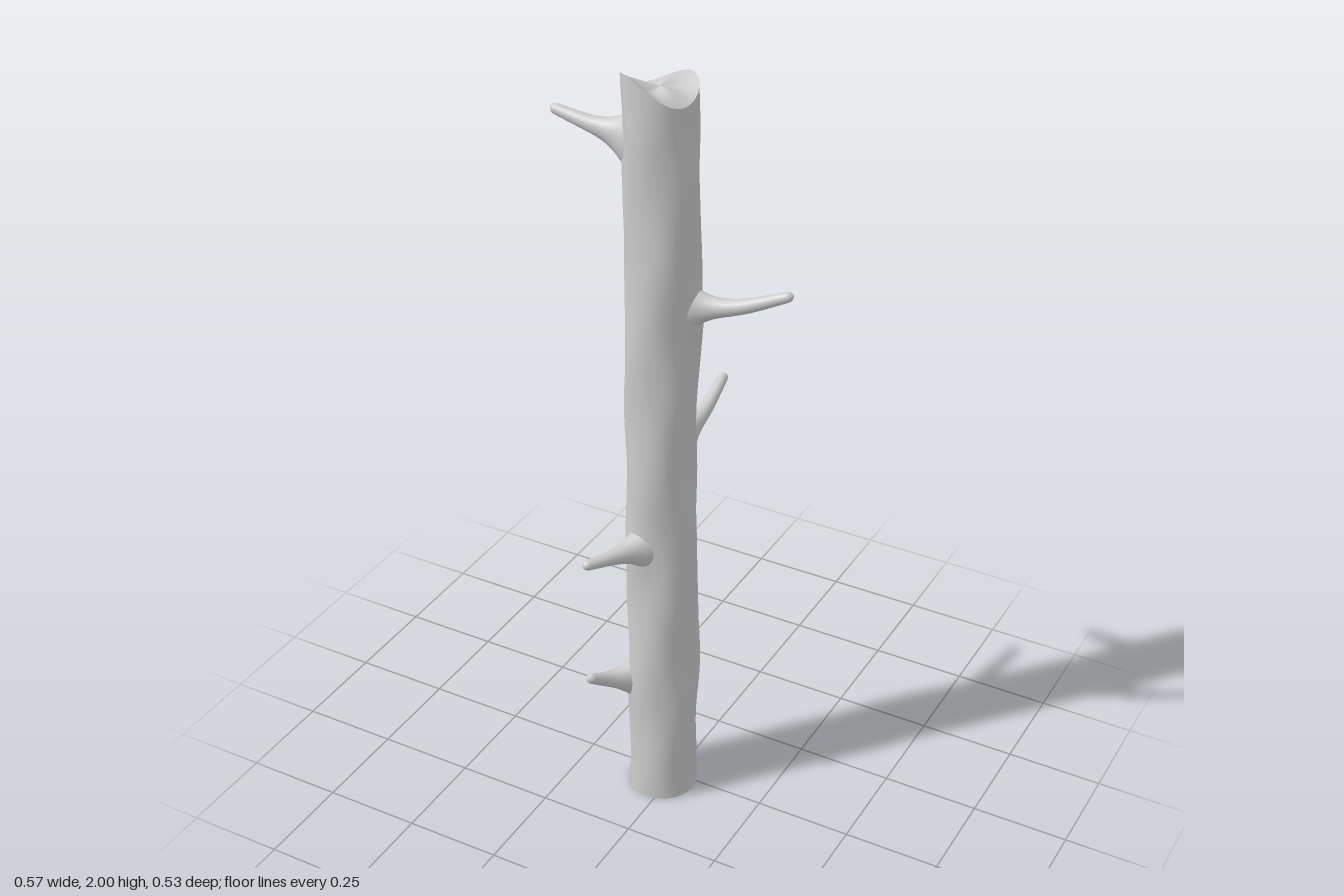
import * as THREE from 'three';
import { ParametricGeometry } from 'three/addons/geometries/ParametricGeometry.js';

const CX = -0.02, CZ = 0.028, RADIUS = 0.087;
const TAU = Math.PI * 2;

// thorns: base on the bark, middle and tip of the path, base half-width and half-height
const THORNS = [
  { name: 'upperRightThorn', base: [-0.105, 1.825, 0.042], mid: [-0.185, 1.845, 0.056], tip: [-0.285, 1.868, 0.063], w: 0.048, h: 0.07 },
  { name: 'upperLeftThorn', base: [0.062, 1.425, 0.022], mid: [0.165, 1.445, 0.002], tip: [0.285, 1.485, -0.04], w: 0.045, h: 0.062 },
  { name: 'backThorn', base: [-0.008, 1.015, -0.055], mid: [-0.003, 1.04, -0.15], tip: [-0.003, 1.09, -0.265], w: 0.048, h: 0.062 },
  { name: 'frontThorn', base: [-0.045, 0.772, 0.112], mid: [-0.072, 0.782, 0.18], tip: [-0.108, 0.792, 0.263], w: 0.045, h: 0.055 },
  { name: 'lowerThorn', base: [-0.092, 0.345, 0.083], mid: [-0.115, 0.368, 0.14], tip: [-0.138, 0.405, 0.206], w: 0.034, h: 0.055 },
];

// height of the broken top rim: a saddle with its highest crest at the front right
function rimHeight(a) {
  const b = a + 0.55;
  return 1.96 + 0.026 * Math.cos(2 * b) + 0.014 * Math.cos(b);
}

// bark radius with gentle lumps, fading out towards both ends
function barkRadius(a, y) {
  const fade = Math.min(1, y / 0.2, Math.max(0, 2 - y) / 0.15);
  const lumps = 0.0022 * Math.sin(2 * a + 7 * y)
    + 0.002 * Math.sin(3 * a - 13 * y + 1)
    + 0.0014 * Math.sin(5 * a + 21 * y + 2);
  let swell = 0;
  for (const { base: [bx, by, bz] } of THORNS) {
    const da = Math.atan2(Math.sin(a - Math.atan2(bx - CX, bz - CZ)), Math.cos(a - Math.atan2(bx - CX, bz - CZ)));
    swell += 0.007 * Math.exp(-((da / 0.45) ** 2) - ((y - by + 0.02) / 0.07) ** 2);
  }
  return RADIUS + lumps * fade + swell;
}

function barkPoint(a, y, r, target) {
  const sway = 0.004 * Math.sin(y * 5.2) * Math.min(1, y * 3);
  target.set(CX + sway + Math.sin(a) * r, y, CZ + Math.cos(a) * r);
}

function trunkGeometry() {
  return new ParametricGeometry((u, v, target) => {
    const a = u * TAU, y = v * rimHeight(a);
    barkPoint(a, y, barkRadius(a, y), target);
  }, 64, 150);
}

// hollowed, uneven break surface
function topGeometry() {
  return new ParametricGeometry((u, v, target) => {
    const a = u * TAU, rim = rimHeight(a), k = Math.max(1 - v, 0.001);
    barkPoint(a, rim, barkRadius(a, rim) * k, target);
    target.y = 1.957 + (rim - 1.957) * k * k - 0.006 * Math.sin(Math.PI * k) * Math.cos(3 * a);
  }, 64, 12);
}

function bottomGeometry() {
  return new ParametricGeometry((u, v, target) => {
    const a = u * TAU;
    barkPoint(a, 0, barkRadius(a, 0) * Math.max(v, 0.001), target);
  }, 64, 2);
}

// tapered spike that flares into the bark and ends in a rounded tip
function thornGeometry({ base, mid, tip, w, h }) {
  const start = new THREE.Vector3(...base);
  const inward = new THREE.Vector3(CX - start.x, 0, CZ - start.z).normalize();
  start.addScaledVector(inward, 0.02);
  const curve = new THREE.CatmullRomCurve3([start, new THREE.Vector3(...mid), new THREE.Vector3(...tip)]);
  const length = curve.getLength();
  const up = new THREE.Vector3(0, 1, 0);
  return new ParametricGeometry((u, v, target) => {
    const t = Math.min(Math.max(v, 0), 1), a = -u * TAU;
    const dir = curve.getTangentAt(t);
    const side = new THREE.Vector3().crossVectors(dir, up).normalize();
    const rise = new THREE.Vector3().crossVectors(side, dir);
    const shaft = 0.012 + 0.013 * (1 - t);
    const flare = Math.exp(-((t * length / 0.042) ** 1.4));
    const endLength = 0.016 / length;
    const e = Math.max(0, (t - 1 + endLength) / endLength);
    const round = Math.max(0.01, Math.sqrt(Math.max(0, 1 - e * e)));
    target.copy(curve.getPointAt(t))
      .addScaledVector(side, Math.cos(a) * (shaft + (w - shaft) * flare) * round)
      .addScaledVector(rise, Math.sin(a) * (shaft + (h - shaft) * flare) * round);
  }, 24, 48);
}

export function createModel() {
  const group = new THREE.Group();
  group.name = 'thornyBranch';
  const material = new THREE.MeshStandardMaterial({ color: 0xcccccc });
  const add = (name, geometry) => {
    const mesh = new THREE.Mesh(geometry, material);
    mesh.name = name;
    group.add(mesh);
  };
  add('trunk', trunkGeometry());
  add('brokenTop', topGeometry());
  add('cutBottom', bottomGeometry());
  for (const thorn of THORNS) add(thorn.name, thornGeometry(thorn));
  return group;
}
